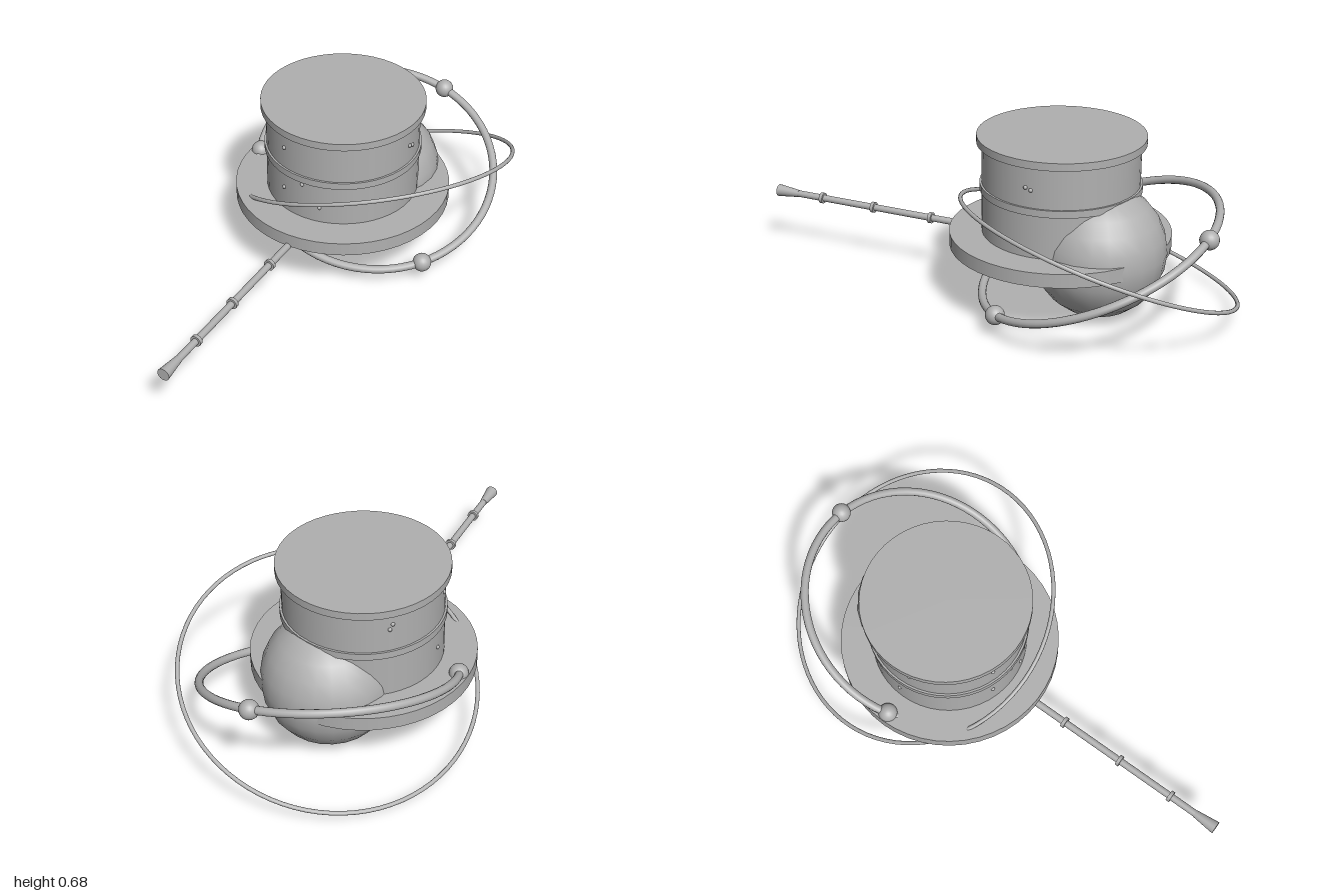
import * as THREE from 'three';

export function createModel() {
  const model = new THREE.Group();
  const gray = new THREE.MeshStandardMaterial({ color: 0xb0b0b0 });
  gray.name = 'plain gray';

  function add(name, geometry, x, y, z, parent = model) {
    const mesh = new THREE.Mesh(geometry, gray);
    mesh.name = name;
    mesh.position.set(x, y, z);
    parent.add(mesh);
    return mesh;
  }

  // Round body
  const center = new THREE.Vector3(0, 0.262, -0.445);
  add('body', new THREE.SphereGeometry(0.258, 24, 12), center.x, center.y, center.z);
  add('nose', new THREE.SphereGeometry(0.034, 20, 14), 0.052, 0.186, -0.19);

  // Hat: stacked discs given as radius, bottom and top
  const hatX = -0.053, hatZ = -0.264, crownRadius = 0.302;
  const discs = [
    ['hatBrim', 0.427, 0.239, 0.294],
    ['hatCrown', crownRadius, 0.29, 0.655],
    ['hatBand', 0.31, 0.463, 0.491],
    ['hatTop', 0.322, 0.65, 0.68],
  ];
  for (const [name, r, low, high] of discs) {
    add(name, new THREE.CylinderGeometry(r, r, high - low, 48), hatX, (low + high) / 2, hatZ);
  }

  // Small rivets on the crown: angle from the front, height
  const rivets = new THREE.Group();
  rivets.name = 'rivets';
  model.add(rivets);
  const rivetGeometry = new THREE.SphereGeometry(0.008, 10, 8);
  const rivetSpots = [
    [-18.4, 0.582], [-1.6, 0.449], [-19, 0.396], [12.3, 0.361], [87, 0.568],
    [91, 0.56], [-80, 0.597], [-91, 0.387], [-134, 0.605], [-136, 0.584],
  ];
  for (const [degrees, y] of rivetSpots) {
    const a = THREE.MathUtils.degToRad(degrees);
    add('rivet', rivetGeometry, hatX + crownRadius * Math.sin(a), y, hatZ + crownRadius * Math.cos(a), rivets);
  }

  // Rod with collars, flared tip and a mount under the brim
  const rodY = 0.238;
  function rodPart(name, backRadius, frontRadius, z0, z1) {
    const part = add(name, new THREE.CylinderGeometry(frontRadius, backRadius, z1 - z0, 20), hatX, rodY, (z0 + z1) / 2);
    part.rotation.x = Math.PI / 2;
  }
  rodPart('rod', 0.0135, 0.0135, 0, 0.92);
  rodPart('rodTip', 0.0145, 0.025, 0.905, 1);
  for (const z of [0.294, 0.554, 0.792]) rodPart('rodCollar', 0.022, 0.022, z - 0.007, z + 0.007);
  add('rodMount', new THREE.BoxGeometry(0.047, 0.04, 0.27), hatX, 0.234, -0.035);

  // Tilted orbit rings around the body
  function ring(name, radius, tube, normal) {
    const mesh = add(name, new THREE.TorusGeometry(radius, tube, 12, 80), center.x, 0.264, center.z);
    mesh.quaternion.setFromUnitVectors(new THREE.Vector3(0, 0, 1), normal.normalize());
  }
  ring('thickRing', 0.48, 0.016, new THREE.Vector3(0.201, 0.92, 0.337));
  ring('thinRing', 0.559, 0.008, new THREE.Vector3(-0.302, 0.92, -0.25));

  // Beads spaced evenly on the thick ring
  for (const [x, y, z] of [[0.358, 0.088, -0.178], [-0.442, 0.294, -0.268], [0.078, 0.412, -0.897]]) {
    add('ringBead', new THREE.SphereGeometry(0.037, 20, 14), x, y, z);
  }

  return model;
}
